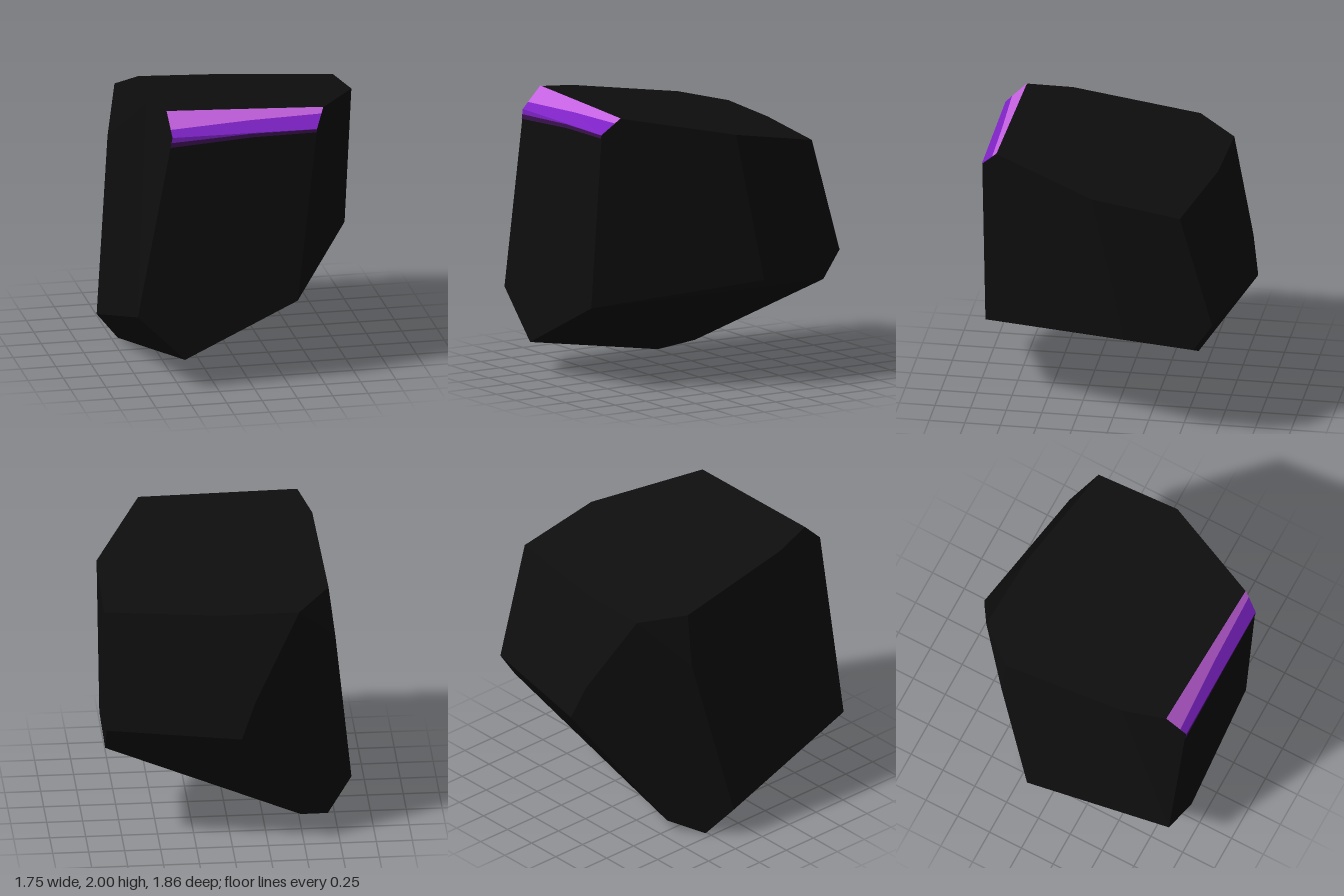
import * as THREE from 'three';
import { ConvexGeometry } from 'three/addons/geometries/ConvexGeometry.js';

const V = (x, y, z) => new THREE.Vector3(x, y, z);
const flat = (name, color) => {
  const m = new THREE.MeshStandardMaterial({ color });
  m.name = name;
  return m;
};

// Strip of flat quads between two rows of points running left to right
function strip(name, upper, lower, material) {
  const pts = [];
  for (let i = 0; i < upper.length - 1; i++) {
    pts.push(upper[i], lower[i], lower[i + 1], upper[i], lower[i + 1], upper[i + 1]);
  }
  const geo = new THREE.BufferGeometry().setFromPoints(pts);
  geo.computeVertexNormals();
  const mesh = new THREE.Mesh(geo, material);
  mesh.name = name;
  mesh.position.set(0, 0.004, 0.004);
  return mesh;
}

export function createModel() {
  const black = flat('black stone', 0x0e0e0e);
  const light = flat('light purple', 0xc461e0);
  const purple = flat('purple', 0x7d22c4);
  const dark = flat('dark purple', 0x3a1250);
  const group = new THREE.Group();
  group.name = 'facetedStone';

  // Bevel between the top and the front, left to right
  const bevelTop = [V(-0.578, 2, 0.775), V(0, 1.982, 0.793), V(0.525, 1.965, 0.81)];
  const bevelBottom = [V(-0.567, 1.852, 0.925), V(0, 1.849, 0.925), V(0.456, 1.846, 0.925)];

  // Stone body: the hull of its facet corners
  const corners = [
    bevelTop[0], bevelTop[2], bevelBottom[0], bevelBottom[2],
    // front face
    V(0.32, 0.6, 0.925), V(-0.478, 0.222, 0.925), V(-0.812, 0.557, 0.925),
    // top face
    V(0.875, 1.834, 0.09), V(0.875, 1.73, -0.53), V(0.076, 1.74, -0.67),
    V(-0.47, 1.756, -0.693), V(-0.695, 1.81, -0.42), V(-0.657, 1.96, 0.47),
    // side face at +x
    V(0.875, 0.93, -0.757), V(0.875, 0.735, -0.624), V(0.875, 0.78, -0.14),
    // back and left
    V(-0.15, 1.167, -0.88), V(-0.05, 0.907, -0.93), V(-0.743, 1.43, -0.426),
    V(-0.877, 0.223, -0.155),
    // lowest edge
    V(-0.5, 0.083, -0.438), V(-0.704, 0, -0.263),
  ];
  const body = new THREE.Mesh(new ConvexGeometry(corners), black);
  body.name = 'stoneBody';
  group.add(body);

  // Coloured bands over the bevel and just below it
  const split = bevelTop.map((p, i) => p.clone().lerp(bevelBottom[i], [0.7, 0.47, 0.3][i]));
  const below = (drops) => bevelBottom.map((p, i) =>
    V(p.x - drops[i] * [0.19, 0, 0.11][i], p.y - drops[i], p.z));
  const purpleEnd = below([0.038, 0.005, 0.002]);
  const darkEnd = below([0.072, 0.032, 0.025]);
  group.add(
    strip('lightBand', bevelTop, split, light),
    strip('purpleBevelBand', split, bevelBottom, purple),
    strip('purpleFrontBand', bevelBottom, purpleEnd, purple),
    strip('darkBand', purpleEnd, darkEnd, dark),
  );
  return group;
}
